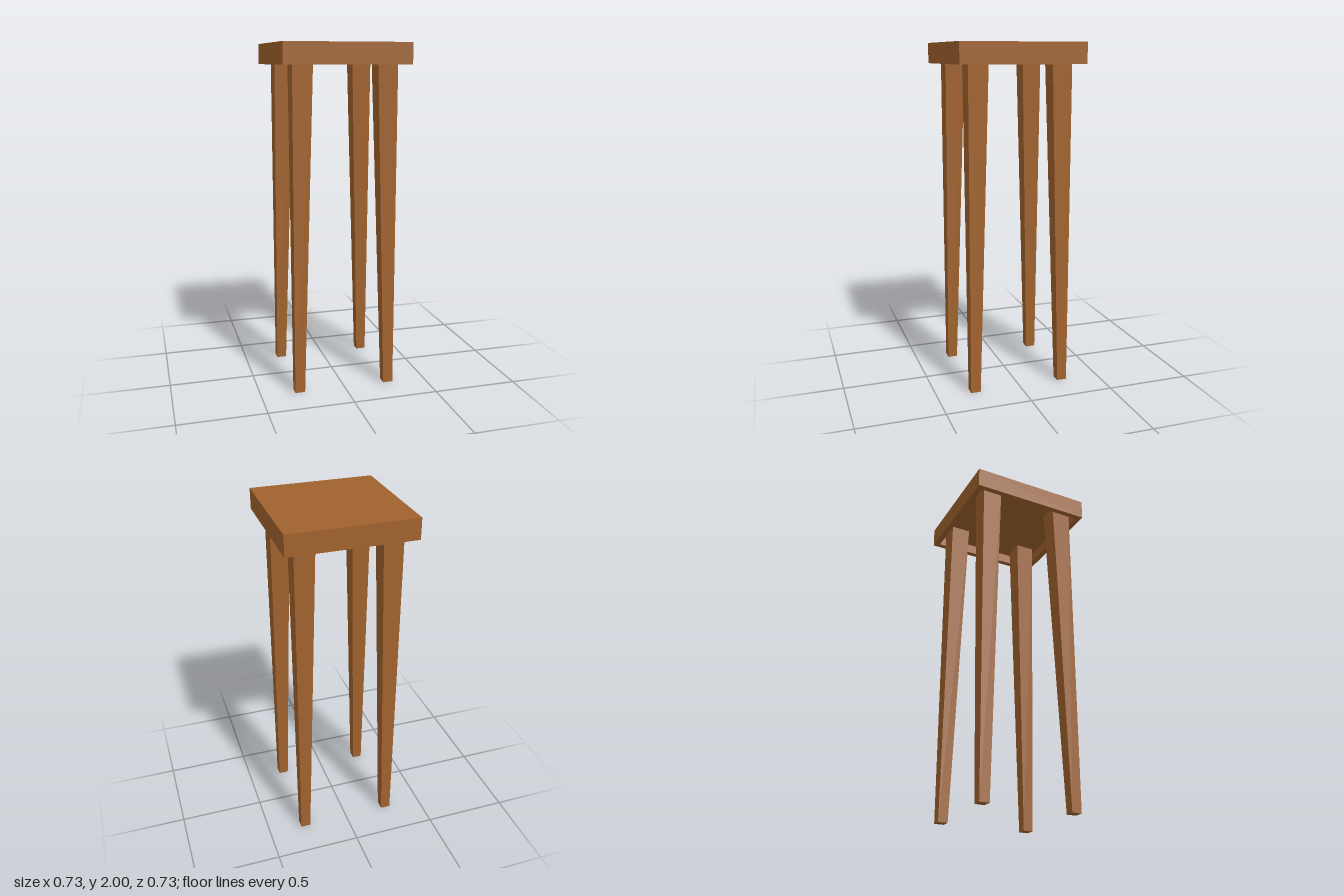
import * as THREE from 'three';

const SEAT_HALF = 0.363, RIM_INNER = 0.33;
const TOP = 2, CEILING = 1.94, SEAT_BOTTOM = 1.88;
const LEG_OUTER = 0.3, LEG_FOOT = 0.058, LEG_HEAD = 0.117;

// Square seat with a shallow recess underneath, turned as a four-sided lathe
function seatGeometry() {
  const profile = [
    [0, CEILING], [RIM_INNER, CEILING], [RIM_INNER, SEAT_BOTTOM],
    [SEAT_HALF, SEAT_BOTTOM], [SEAT_HALF, TOP], [0, TOP],
  ].map(([r, y]) => new THREE.Vector2(r * Math.SQRT2, y));
  const geometry = new THREE.LatheGeometry(profile, 4, Math.PI / 4).toNonIndexed();
  geometry.computeVertexNormals();
  return geometry;
}

// Leg whose two outer faces are vertical and two inner faces taper to the foot
function legGeometry(sx, sz) {
  const geometry = new THREE.BoxGeometry(1, CEILING, 1);
  geometry.translate(0, CEILING / 2, 0);
  const p = geometry.attributes.position;
  for (let i = 0; i < p.count; i++) {
    const width = p.getY(i) > 1 ? LEG_HEAD : LEG_FOOT;
    const place = (v, s) => s * (v * s > 0 ? LEG_OUTER : LEG_OUTER - width);
    p.setX(i, place(p.getX(i), sx));
    p.setZ(i, place(p.getZ(i), sz));
  }
  geometry.computeVertexNormals();
  return geometry;
}

export function createModel() {
  const wood = new THREE.MeshStandardMaterial({ color: 0xa0622d });
  wood.name = 'brown wood';

  const stool = new THREE.Group();
  stool.name = 'stool';
  const add = (name, geometry) => {
    const mesh = new THREE.Mesh(geometry, wood);
    mesh.name = name;
    stool.add(mesh);
  };

  add('seat', seatGeometry());
  for (const sx of [-1, 1]) {
    for (const sz of [-1, 1]) {
      add(`${sz > 0 ? 'front' : 'back'}${sx > 0 ? 'Left' : 'Right'}Leg`, legGeometry(sx, sz));
    }
  }
  return stool;
}
